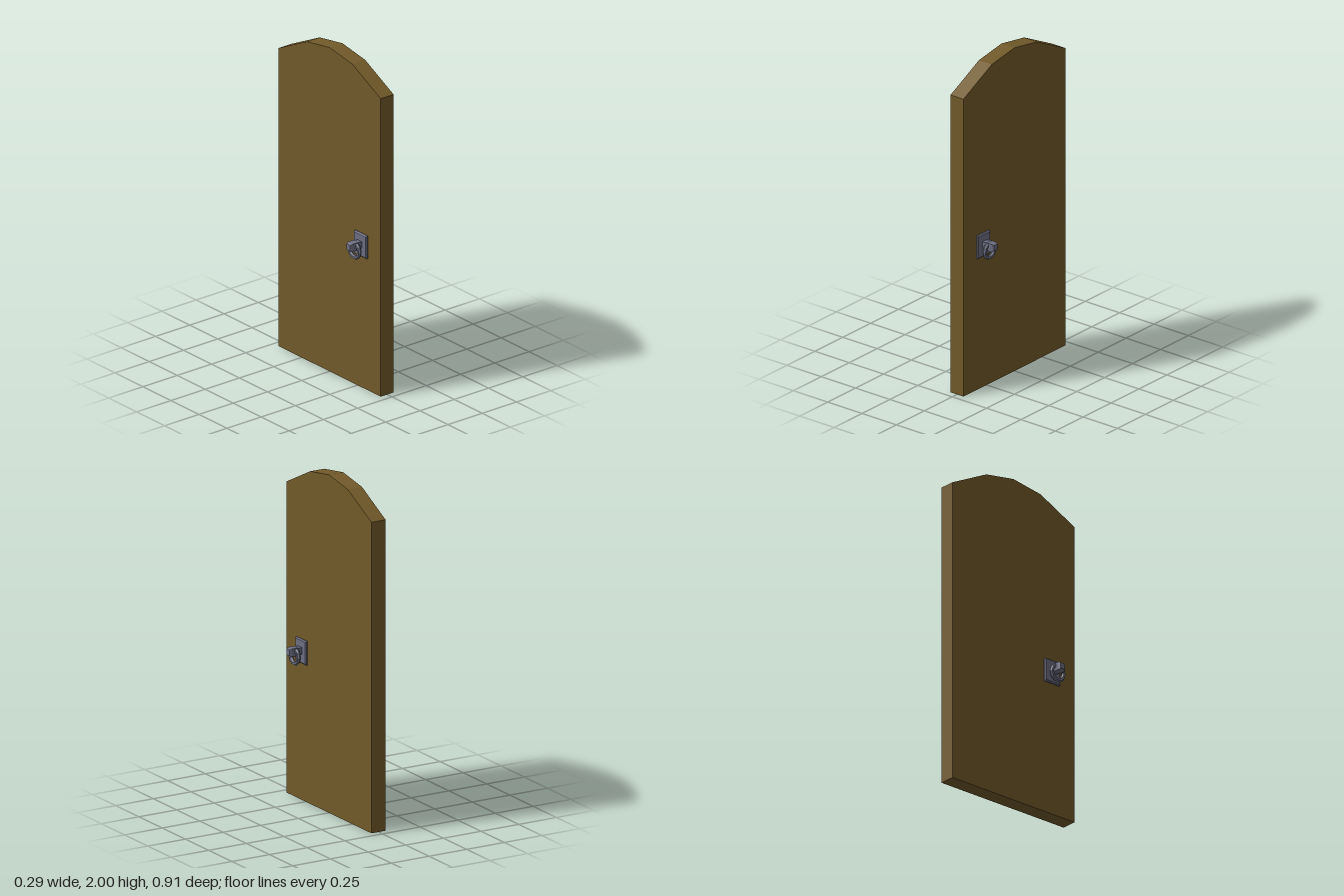
import * as THREE from 'three';

const wood = new THREE.MeshStandardMaterial({ color: 0x725a2a, flatShading: true });
const iron = new THREE.MeshStandardMaterial({ color: 0x6c6e82, flatShading: true });

function part(name, geometry, material, parent) {
  const mesh = new THREE.Mesh(geometry, material);
  mesh.name = name;
  parent.add(mesh);
  return mesh;
}

// Square-section solid along +x; profile holds [half-width, x] pairs
function squareTurned(profile, heightScale, widthScale) {
  const points = profile.map(([half, x]) => new THREE.Vector2(half * Math.SQRT2, x));
  return new THREE.LatheGeometry(points, 4, Math.PI / 4)
    .rotateZ(-Math.PI / 2)
    .scale(1, heightScale, widthScale);
}

function createHandle(name) {
  const handle = new THREE.Group();
  handle.name = name;

  // Bevelled back plate
  part('backPlate', squareTurned([[0, 0.04], [1, 0.04], [1, 0.053], [0.91, 0.06], [0, 0.06]], 0.071, 0.056), iron, handle)
    .position.y = 0.883;

  // Peg with a chamfered, slightly flared end
  part('peg', squareTurned([[0, 0.05], [0.8, 0.05], [0.86, 0.075], [1, 0.087], [1, 0.13], [0.72, 0.143], [0, 0.143]], 0.024, 0.022), iron, handle)
    .position.y = 0.889;

  // Pull ring hanging through the peg
  part('pullRing', new THREE.TorusGeometry(0.044, 0.0128, 6, 10).rotateY(Math.PI / 2), iron, handle)
    .position.set(0.098, 0.861, 0);

  return handle;
}

export function createModel() {
  const door = new THREE.Group();
  door.name = 'door';

  // Arched door panel
  const outline = [[-0.457, 0], [0.457, 0], [0.457, 1.84], [0.203, 1.967], [0, 2], [-0.203, 1.967], [-0.457, 1.84]];
  const shape = new THREE.Shape(outline.map(([x, y]) => new THREE.Vector2(x, y)));
  const panel = new THREE.ExtrudeGeometry(shape, { depth: 0.094, bevelEnabled: false })
    .translate(0, 0, -0.047)
    .rotateY(Math.PI / 2);
  part('doorPanel', panel, wood, door);

  // One handle on each face
  for (const side of [1, -1]) {
    const handle = createHandle(side > 0 ? 'leftHandle' : 'rightHandle');
    handle.position.z = 0.286;
    if (side < 0) handle.rotation.y = Math.PI;
    door.add(handle);
  }
  return door;
}
